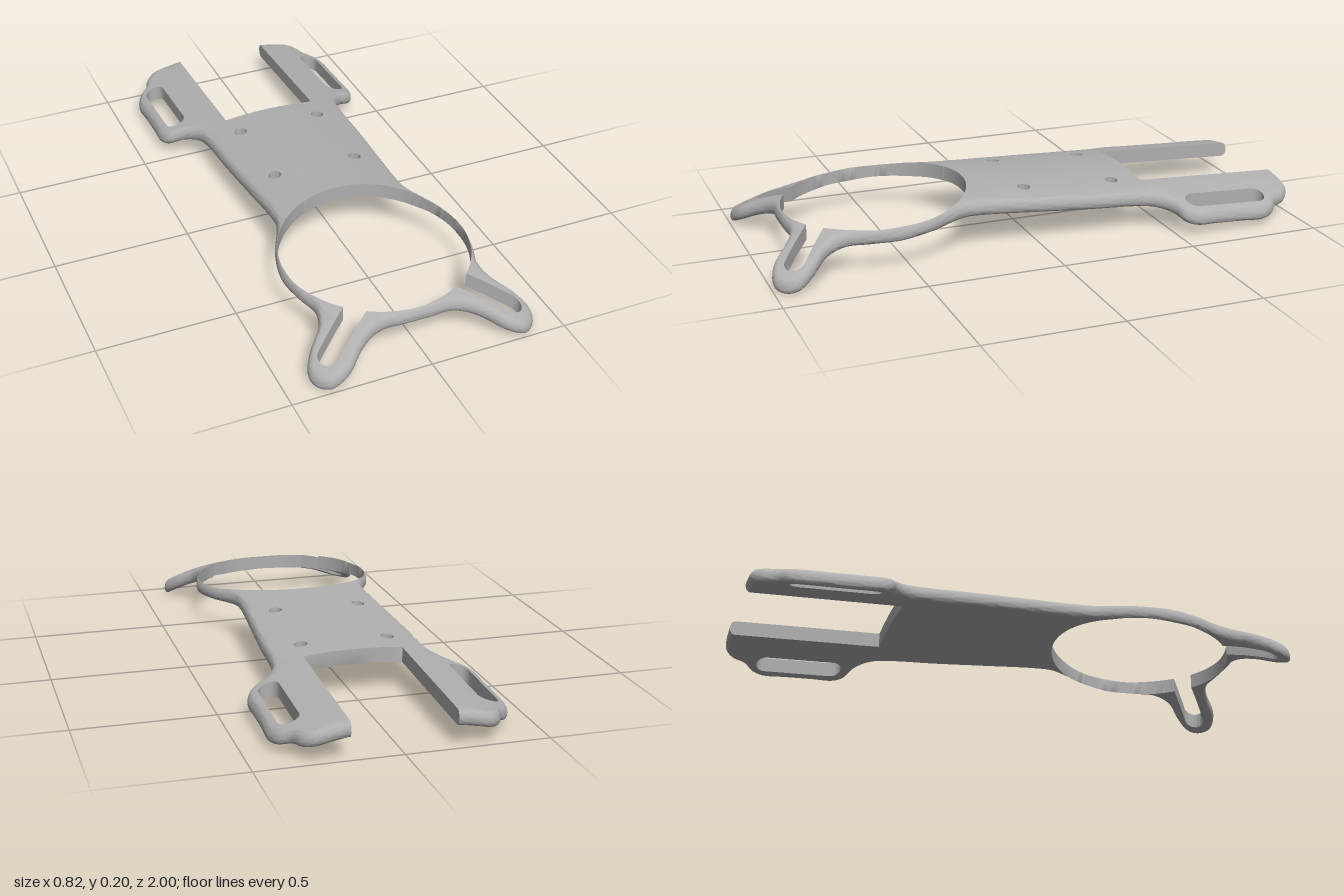
import * as THREE from 'three';
import { toCreasedNormals } from 'three/addons/utils/BufferGeometryUtils.js';

// Plan points are Vector2(x, z).
const V = (x, z) => new THREE.Vector2(x, z);
const flip = (pts) => pts.map((p) => V(-p.x, p.y)).reverse();
const THICK = 0.055, ROUND = 0.018, STEPS = 6, MAX_EDGE = 0.05;
const RING = V(0, 0.54), RING_R = 0.335;

// Straight runs cut into short pieces so they can follow the bend
function densify(pts, closed) {
  const out = [];
  pts.forEach((p, i) => {
    const last = i === pts.length - 1;
    if (last && !closed) return out.push(p.clone());
    const q = pts[(i + 1) % pts.length];
    const n = Math.max(1, Math.ceil(p.distanceTo(q) / 0.045));
    for (let k = 0; k < n; k++) out.push(p.clone().lerp(q, k / n));
  });
  return out;
}

function arc(c, r, a0, a1, n) {
  return Array.from({ length: n + 1 }, (_, i) => {
    const a = a0 + (a1 - a0) * i / n;
    return V(c.x + r * Math.cos(a), c.y + r * Math.sin(a));
  });
}

// Outer edge: one half from the rear tab to the front centre, then mirrored
function outerEdge() {
  const half = [
    [0.18, -1], [0.22, -1], [0.26, -1], [0.3, -0.995], [0.335, -0.965], [0.355, -0.92],
    [0.392, -0.885], [0.41, -0.84], [0.41, -0.75], [0.41, -0.65], [0.41, -0.565], [0.39, -0.525],
    [0.335, -0.495], [0.295, -0.445], [0.282, -0.38], [0.275, -0.2], [0.263, 0], [0.252, 0.2],
    [0.256, 0.27], [0.28, 0.33], [0.322, 0.42], [0.346, 0.54], [0.328, 0.65], [0.305, 0.73],
    [0.32, 0.795], [0.381, 0.863], [0.409, 0.915], [0.399, 0.96], [0.355, 0.994],
    [0.289, 0.981], [0.22, 0.925], [0.17, 0.895], [0.12, 0.883], [0.06, 0.887],
  ].map(([x, z]) => V(x, z));
  const all = [...half, V(0, 0.888), ...flip(half)].map((p) => new THREE.Vector3(p.x, 0, p.y));
  const curve = new THREE.CatmullRomCurve3(all, false, 'centripetal');
  curve.arcLengthDivisions = 2000;
  return curve.getSpacedPoints(420).map((p) => V(p.x, p.z));
}

// Large round opening with the two diagonal slots
function ringOpening() {
  const ang = 37.5 * Math.PI / 180, w = 0.037, end = V(0.335, 0.915);
  const off = -Math.sin(ang) * (end.x - RING.x) + Math.cos(ang) * (end.y - RING.y);
  const a1 = ang + Math.asin((off - w) / RING_R), a2 = ang + Math.asin((off + w) / RING_R);
  const half = [
    ...arc(RING, RING_R, -Math.PI / 2, a1, 70),
    ...arc(end, w, ang - Math.PI / 2, ang + Math.PI / 2, 16),
    ...arc(RING, RING_R, a2, Math.PI / 2, 16),
  ];
  return densify([...half, ...flip(half).slice(1, -1)], true);
}

function createPlate() {
  const edge = outerEdge();

  // Distance from the outer edge, which sets the rounding
  const edgeDistance = (p) => {
    let best = Infinity;
    for (let i = 0; i < edge.length - 1; i++) {
      const a = edge[i], b = edge[i + 1];
      const dx = b.x - a.x, dz = b.y - a.y;
      const t = THREE.MathUtils.clamp(((p.x - a.x) * dx + (p.y - a.y) * dz) / (dx * dx + dz * dz), 0, 1);
      best = Math.min(best, Math.hypot(p.x - a.x - t * dx, p.y - a.y - t * dz));
    }
    return best;
  };
  // Arched across, sloping to the rear and dipping to the front
  const middle = (p) => 0.203 - THICK / 2 + 0.05 * (p.y - 0.21)
    - 0.385 * Math.max(0, p.y - 0.4) ** 2 - 0.3 * p.x ** 2 - 0.9 * p.x ** 4;
  const halfThick = (p) => {
    const t = 1 - Math.min(edgeDistance(p), ROUND) / ROUND;
    return THICK / 2 * Math.sqrt(Math.max(0, 1 - t * t));
  };
  const top = (p) => middle(p) + halfThick(p);
  const bottom = (p) => middle(p) - halfThick(p);
  const bore = (p) => top(p) - 0.03;

  const pos = [];
  const put = (p, level) => pos.push(p.x, level(p), p.y);
  // One plan triangle on a level, facing up or down
  function face(a, b, c, level, up) {
    const area = (b.y - a.y) * (c.x - a.x) - (b.x - a.x) * (c.y - a.y);
    if (Math.abs(area) < 1e-10) return;
    if ((area > 0) !== up) [b, c] = [c, b];
    put(a, level); put(b, level); put(c, level);
  }
  function split(a, b, c, level, up) {
    const l = [a.distanceTo(b), b.distanceTo(c), c.distanceTo(a)];
    const m = Math.max(...l);
    if (m <= MAX_EDGE) return face(a, b, c, level, up);
    if (m === l[1]) [a, b, c] = [b, c, a];
    else if (m === l[2]) [a, b, c] = [c, a, b];
    const mid = a.clone().add(b).multiplyScalar(0.5);
    split(a, mid, c, level, up);
    split(mid, b, c, level, up);
  }
  function fill(outline, holes, level, up) {
    const pts = [outline, ...holes].flat();
    for (const [i, j, k] of THREE.ShapeUtils.triangulateShape(outline, holes)) {
      split(pts[i], pts[j], pts[k], level, up);
    }
  }
  function wall(pts, closed, low) {
    for (let i = 0; i < pts.length - (closed ? 0 : 1); i++) {
      const a = pts[i], b = pts[(i + 1) % pts.length];
      put(a, top); put(a, low); put(b, top);
      put(b, top); put(a, low); put(b, low);
    }
  }

  // Rounded rim, as nested copies of the edge stopped at the ring opening
  const insets = Array.from({ length: STEPS + 1 }, (_, k) => ROUND * (1 - Math.cos(k / STEPS * Math.PI / 2)));
  const loops = insets.map((d) => edge.map((p, i) => {
    const t = edge[Math.min(i + 1, edge.length - 1)].clone().sub(edge[Math.max(i - 1, 0)]).normalize();
    const q = V(p.x - t.y * d, p.y + t.x * d);
    const out = q.clone().sub(RING);
    return out.length() < RING_R + 0.002 ? out.setLength(RING_R + 0.002).add(RING) : q;
  }));
  for (let k = 0; k < STEPS; k++) {
    for (let i = 0; i < edge.length - 1; i++) {
      const a = loops[k][i], b = loops[k][i + 1], c = loops[k + 1][i], d = loops[k + 1][i + 1];
      for (const [level, up] of [[top, true], [bottom, false]]) {
        face(a, b, c, level, up);
        face(b, d, c, level, up);
      }
    }
  }

  // Rear notch
  const rightLip = insets.map((d) => V(0.18, -1 + d));
  const inner = densify([rightLip[STEPS], V(0.18, -0.44), V(-0.18, -0.44), V(-0.18, -1 + ROUND)], false);
  wall([...rightLip.slice(0, -1), ...inner, ...flip(rightLip).slice(1)], false, bottom);

  // Ring opening and strap slots go through; bolt holes are blind
  const r = 0.036;
  const strap = densify([
    ...arc(V(0.341, -0.587), r, 0, Math.PI, 20),
    ...arc(V(0.341, -0.836), r, Math.PI, 2 * Math.PI, 20),
  ], true);
  const through = [ringOpening(), strap, flip(strap)];
  const bolts = [];
  for (const x of [-0.16, 0.16]) {
    for (const z of [-0.33, 0.02]) bolts.push(arc(V(x, z), 0.024, 0, 2 * Math.PI, 28).slice(0, -1));
  }
  through.forEach((h) => wall(h, true, bottom));
  bolts.forEach((h) => { wall(h, true, bore); fill(h, [], bore, true); });

  // Upper and lower skins
  const outline = [...loops[STEPS], ...inner.slice(1, -1).reverse()];
  fill(outline, [...through, ...bolts], top, true);
  fill(outline, through, bottom, false);

  const geo = new THREE.BufferGeometry();
  geo.setAttribute('position', new THREE.Float32BufferAttribute(pos, 3));
  return toCreasedNormals(geo, 0.6);
}

export function createModel() {
  const gray = new THREE.MeshStandardMaterial({ color: 0xb0b0b0 });
  gray.name = 'plain gray';
  const plate = new THREE.Mesh(createPlate(), gray);
  plate.name = 'curvedMountingPlate';
  // Rest the plate on the ground
  plate.geometry.computeBoundingBox();
  plate.position.y = -plate.geometry.boundingBox.min.y;
  const model = new THREE.Group();
  model.name = 'mountingBracket';
  model.add(plate);
  return model;
}
